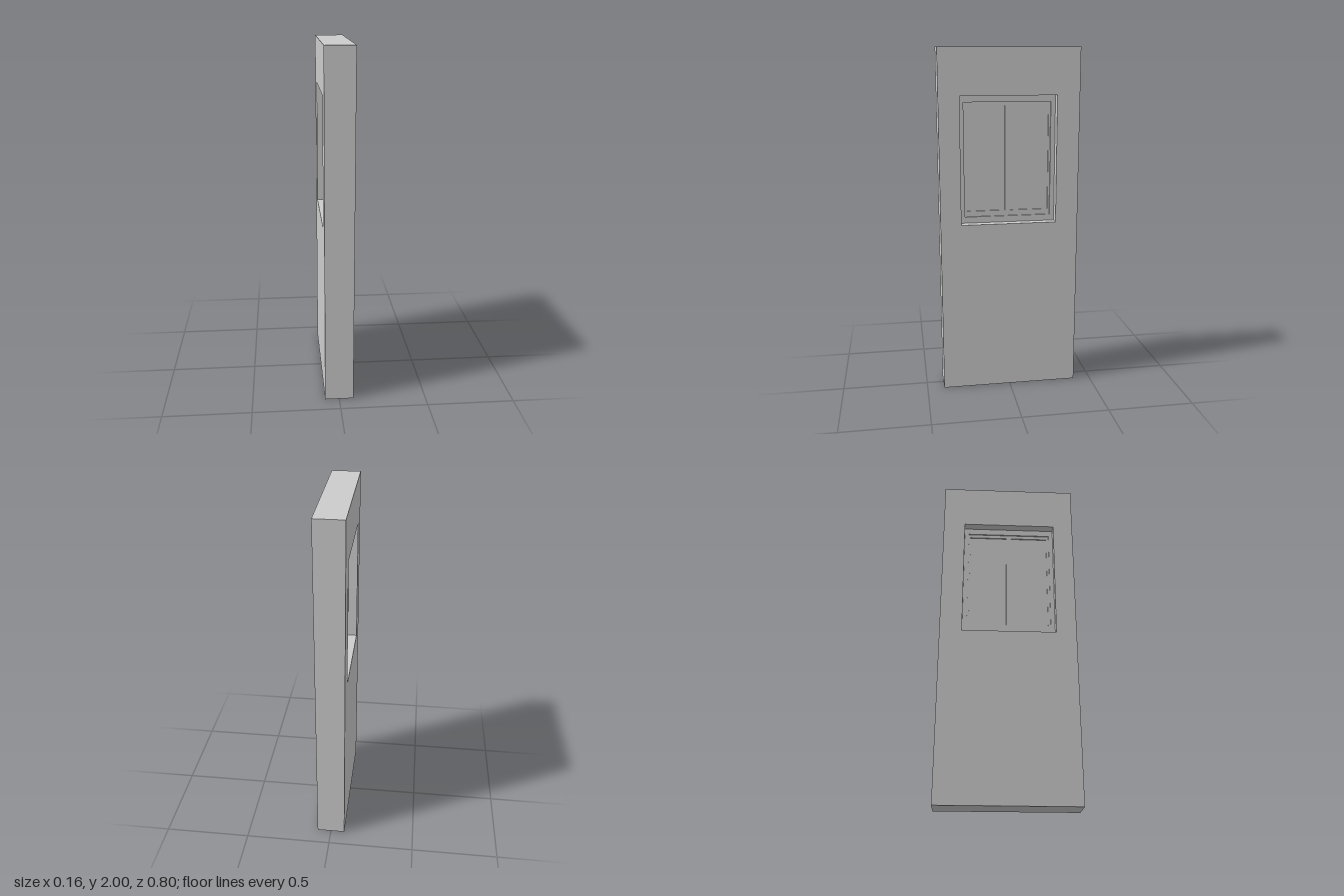
import * as THREE from 'three';

const material = new THREE.MeshStandardMaterial({ color: 0xcccccc, flatShading: true });

// Counter-clockwise rectangle [z0, z1, y0, y1]; shape x becomes world -z
function outline(target, [z0, z1, y0, y1]) {
  target.moveTo(-z1, y0);
  target.lineTo(-z0, y0);
  target.lineTo(-z0, y1);
  target.lineTo(-z1, y1);
  target.closePath();
  return target;
}

// Upright slab between x0 and x1 with rectangular openings
function slab(name, rect, holes, x0, x1) {
  const shape = outline(new THREE.Shape(), rect);
  shape.holes = holes.map((h) => outline(new THREE.Path(), h));
  const geometry = new THREE.ExtrudeGeometry(shape, { depth: x1 - x0, bevelEnabled: false });
  geometry.rotateY(Math.PI / 2);
  geometry.translate(x0, 0, 0);
  const mesh = new THREE.Mesh(geometry, material);
  mesh.name = name;
  return mesh;
}

export function createModel() {
  const model = new THREE.Group();
  model.name = 'wallPanelWithWindow';

  const wall = [-0.4, 0.4, 0, 2];
  const opening = [-0.27, 0.281, 1.006, 1.737];
  const frameInner = [-0.244, 0.256, 1.042, 1.699];
  const panes = [
    [-0.233, -0.009, 1.074, 1.678],
    [0.02, 0.241, 1.074, 1.678],
  ];

  // Wall with a through opening
  model.add(slab('wall', wall, [opening], -0.082, 0.082));

  // Window: outer frame, sash with centre mullion, two panes
  const window = new THREE.Group();
  window.name = 'window';
  window.add(slab('windowFrame', opening, [frameInner], -0.029, 0.031));
  window.add(slab('windowSash', frameInner, panes, -0.022, 0.022));
  panes.forEach((p, i) => window.add(slab(['rightPane', 'leftPane'][i], p, [], -0.015, 0.014)));
  model.add(window);

  return model;
}
